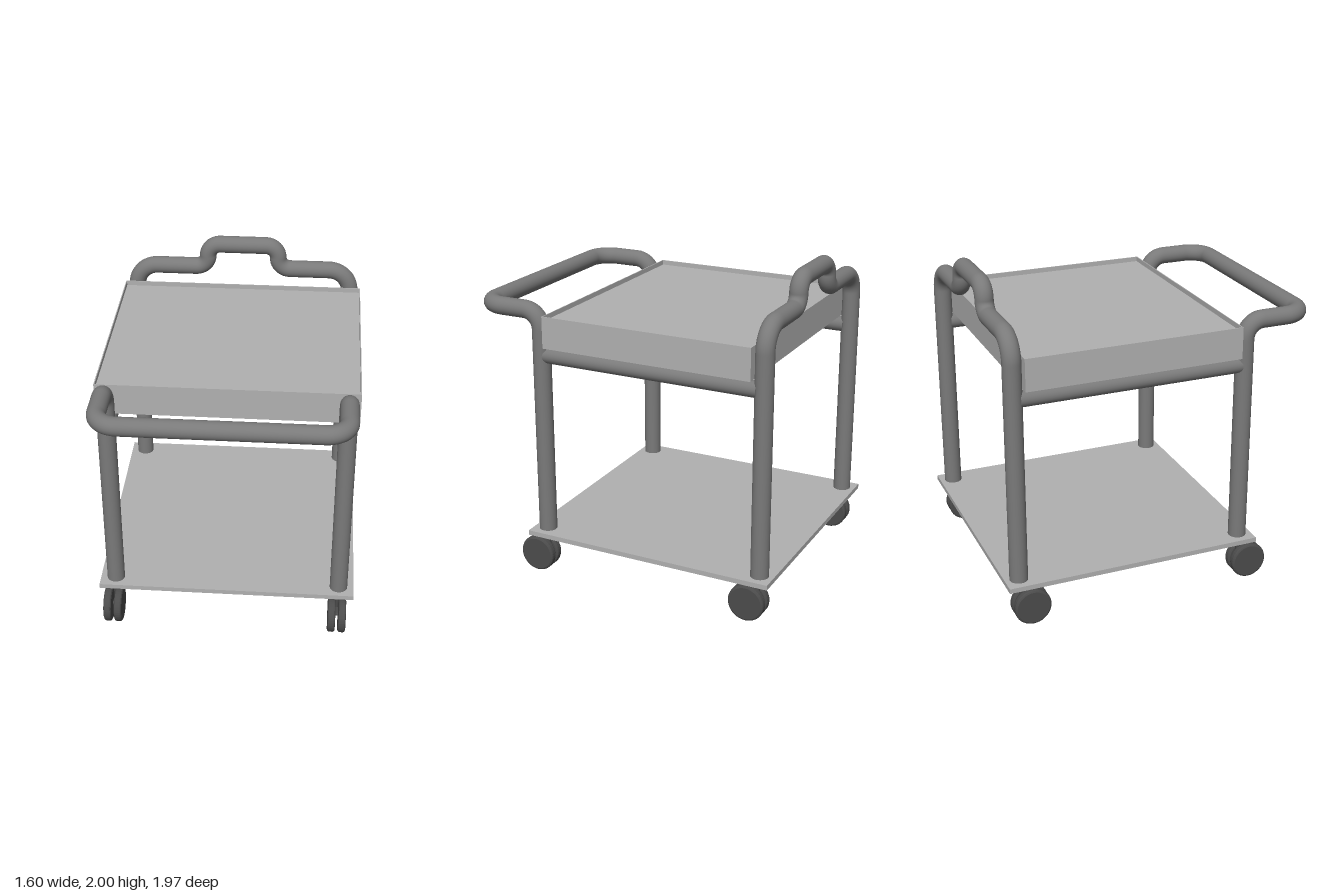
import * as THREE from 'three';

const mat = (name, color) => {
  const m = new THREE.MeshStandardMaterial({ color });
  m.name = name;
  return m;
};

// Path through corner points; each inner corner is rounded by its own radius.
function roundedPath(points) {
  const path = new THREE.CurvePath();
  const pts = points.map(([x, y, z]) => new THREE.Vector3(x, y, z));
  let last = pts[0];
  const lineTo = (p) => {
    if (last.distanceTo(p) > 1e-4) path.add(new THREE.LineCurve3(last, p));
    last = p;
  };
  for (let i = 1; i < pts.length - 1; i++) {
    const r = points[i][3];
    const c = pts[i];
    const toward = (q, d) => c.clone().add(q.clone().sub(c).setLength(d));
    lineTo(toward(pts[i - 1], r));
    const end = toward(pts[i + 1], r);
    path.add(new THREE.CubicBezierCurve3(
      last, toward(pts[i - 1], r * 0.448), toward(pts[i + 1], r * 0.448), end));
    last = end;
  }
  lineTo(pts[pts.length - 1]);
  return path;
}

export function createModel() {
  const model = new THREE.Group();
  const sheet = mat('light grey sheet', 0xb0b0b0);
  const steel = mat('grey tube', 0x7a7a7a);
  const rubber = mat('dark wheel', 0x4c4c4c);

  const add = (name, geometry, material, x = 0, y = 0, z = 0, parent = model) => {
    const mesh = new THREE.Mesh(geometry, material);
    mesh.name = name;
    mesh.position.set(x, y, z);
    parent.add(mesh);
    return mesh;
  };

  const X = 0.705, R = 0.055, frontZ = 0.533, backZ = -0.9;

  // Bottom shelf
  add('bottomShelf', new THREE.BoxGeometry(1.6, 0.03, 1.605), sheet, 0, 0.275, -0.183);

  // Top tray: solid body with a thin raised rim
  const tray = new THREE.Group();
  tray.name = 'topTray';
  tray.position.set(0, 1.49, -0.181);
  model.add(tray);
  const W = 1.55, D = 1.33, H = 0.195, floor = 0.165, t = 0.006;
  add('trayBody', new THREE.BoxGeometry(W, floor, D), sheet, 0, floor / 2, 0, tray);
  const rimY = (floor + H) / 2;
  for (const s of [-1, 1]) {
    add('trayRimSide', new THREE.BoxGeometry(t, H - floor, D), sheet, s * (W - t) / 2, rimY, 0, tray);
    add('trayRimEnd', new THREE.BoxGeometry(W - 2 * t, H - floor, t), sheet, 0, rimY, s * (D - t) / 2, tray);
  }

  // Front posts bending forward into the push handle
  const handle = roundedPath([
    [-X, 0.28, frontZ],
    [-X, 1.695, frontZ, 0.11],
    [-X, 1.695, 0.93, 0.13],
    [X, 1.695, 0.93, 0.13],
    [X, 1.695, frontZ, 0.11],
    [X, 0.28, frontZ],
  ]);
  add('frontFrame', new THREE.TubeGeometry(handle, 320, R, 24), steel);

  // Back posts joined by a bar with a raised middle
  const back = roundedPath([
    [-X, 0.28, backZ],
    [-X, 1.785, backZ, 0.14],
    [-0.23, 1.785, backZ, 0.08],
    [-0.23, 1.945, backZ, 0.08],
    [0.23, 1.945, backZ, 0.08],
    [0.23, 1.785, backZ, 0.08],
    [X, 1.785, backZ, 0.14],
    [X, 0.28, backZ],
  ]);
  add('backFrame', new THREE.TubeGeometry(back, 360, R, 24), steel);

  // Side rails under the tray
  for (const s of [-1, 1]) {
    const rail = add('sideRail', new THREE.CylinderGeometry(0.049, 0.049, 1.37, 24), steel, s * X, 1.428, -0.18);
    rail.rotation.x = Math.PI / 2;
  }

  // Twin-wheel casters
  const r = 0.113, h = 0.024, b = 0.012;
  const profile = [[0, -h], [r - b, -h], [r - 0.003, -h + 0.005], [r, -h + b],
    [r, h - b], [r - 0.003, h - 0.005], [r - b, h], [0, h]]
    .map(([x, y]) => new THREE.Vector2(x, y));
  const wheelGeo = new THREE.LatheGeometry(profile, 40).toNonIndexed();
  wheelGeo.computeVertexNormals();
  const stemGeo = new THREE.CylinderGeometry(0.01, 0.01, 0.16, 12);
  const axleGeo = new THREE.CylinderGeometry(0.012, 0.012, 0.06, 12);
  const armGeo = new THREE.BoxGeometry(0.016, 0.02, 0.07);
  for (const x of [-0.716, 0.701]) {
    for (const z of [frontZ, backZ + 0.007]) {
      const caster = new THREE.Group();
      caster.name = 'caster';
      caster.position.set(x, 0, z);
      model.add(caster);
      add('casterStem', stemGeo, rubber, 0, 0.19, 0, caster);
      add('casterArm', armGeo, rubber, 0, 0.118, 0.03, caster);
      add('casterAxle', axleGeo, rubber, 0, 0.117, 0.06, caster).rotation.z = Math.PI / 2;
      for (const s of [-1, 1]) {
        add('casterWheel', wheelGeo, rubber, s * 0.033, 0.115, 0.06, caster).rotation.z = Math.PI / 2;
      }
    }
  }
  return model;
}
